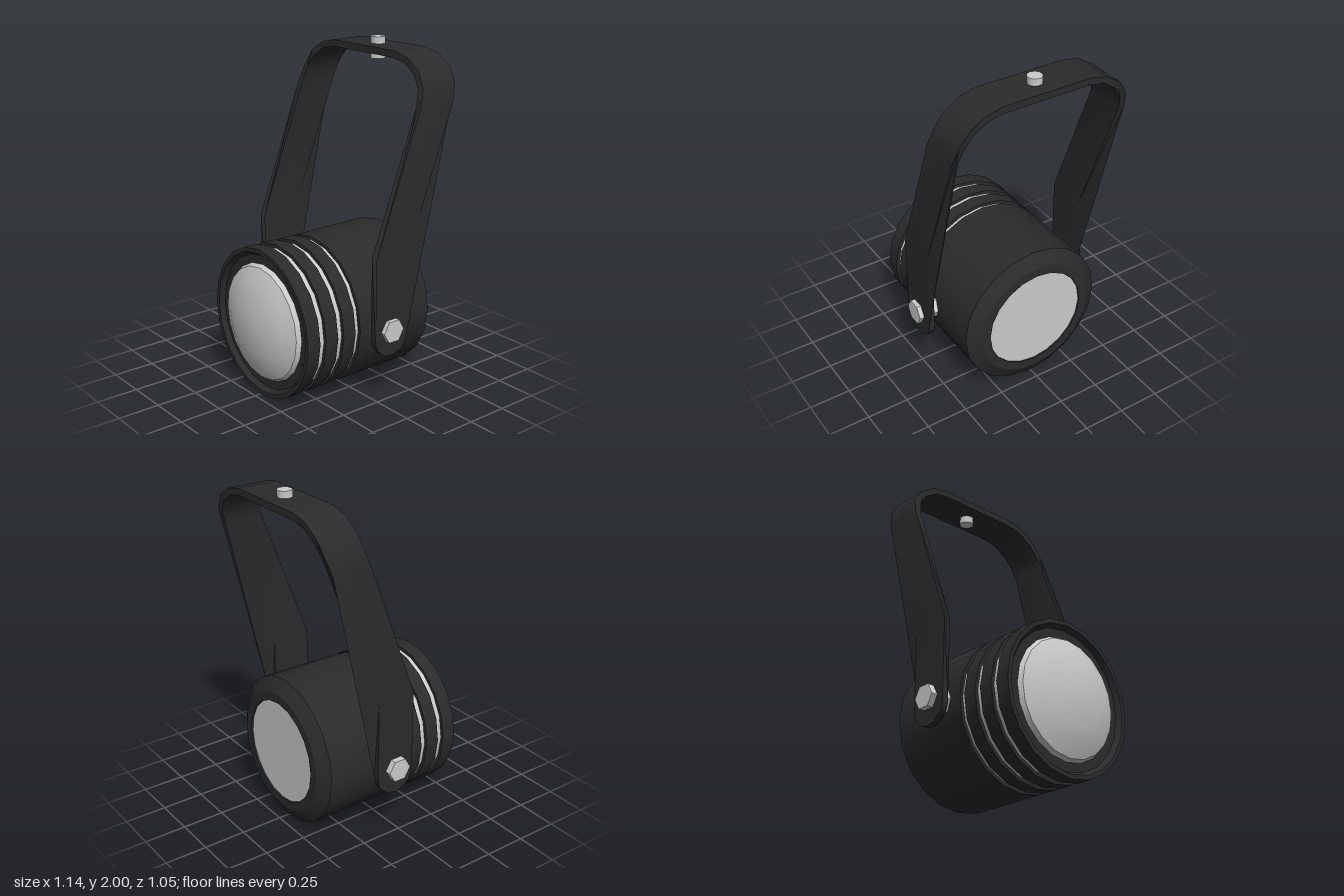
import * as THREE from 'three';
import { toCreasedNormals } from 'three/addons/utils/BufferGeometryUtils.js';

const CX = 0.005, CY = 0.447; // lamp axis
const BOLT_Z = -0.055;
const black = new THREE.MeshStandardMaterial({ color: 0x2b2b2b });
const grey = new THREE.MeshStandardMaterial({ color: 0xcccccc });

function part(name, geometry, material, crease = 0.45) {
  const mesh = new THREE.Mesh(toCreasedNormals(geometry, crease), material);
  mesh.name = name;
  return mesh;
}

// Turned part around the lamp axis; points are [radius, z], back to front
function turned(name, points, material) {
  const g = new THREE.LatheGeometry(points.map(p => new THREE.Vector2(p[0], p[1])), 20);
  g.rotateX(Math.PI / 2);
  g.translate(CX, CY, 0);
  return part(name, g, material);
}

// Depth offset of the yoke at height y: vertical, leaning back, vertical again
const LEAN = [[0.89, -0.06], [1.69, -0.36], [1.79, -0.393], [1.88, -0.405]];
function yokeZ(y) {
  if (y <= LEAN[0][0]) return LEAN[0][1];
  for (let i = 1; i < LEAN.length; i++) {
    const [y0, z0] = LEAN[i - 1], [y1, z1] = LEAN[i];
    if (y <= y1) return z0 + (z1 - z0) * (y - y0) / (y1 - y0);
  }
  return LEAN[LEAN.length - 1][1];
}

function createYoke() {
  const yoke = new THREE.Group();
  yoke.name = 'yoke';

  // Bent strap: U outline extruded in depth, then sheared back
  const outer = [[0.538, 0.415], [0.538, 0.89], [0.538, 1.69], [0.517, 1.79], [0.46, 1.88], [0.367, 1.938], [0.265, 1.96]];
  const inner = [[0.5, 0.415], [0.5, 0.89], [0.5, 1.69], [0.482, 1.775], [0.435, 1.848], [0.353, 1.902], [0.26, 1.92]];
  const mirror = list => list.map(([x, y]) => [-x, y]);
  const outline = [
    ...outer, ...mirror(outer).reverse(),
    ...mirror(inner), ...inner.slice().reverse(),
  ].map(([x, y]) => new THREE.Vector2(x, y));
  const strap = new THREE.ExtrudeGeometry(new THREE.Shape(outline), { depth: 0.24, bevelEnabled: false });
  const pos = strap.attributes.position;
  for (let i = 0; i < pos.count; i++) {
    pos.setZ(i, pos.getZ(i) - 0.12 + yokeZ(pos.getY(i)));
  }
  strap.translate(CX, 0, 0);
  yoke.add(part('strap', strap, black));

  // Rounded leg ends
  for (const side of [-1, 1]) {
    const half = new THREE.Shape();
    half.absarc(0, 0, 0.12, Math.PI, Math.PI * 2, false);
    const end = new THREE.ExtrudeGeometry(half, { depth: 0.038, bevelEnabled: false, curveSegments: 10 });
    end.translate(0, 0, -0.019);
    end.rotateY(Math.PI / 2);
    end.translate(CX + side * 0.519, 0.415, -0.06);
    yoke.add(part(side > 0 ? 'leftLegEnd' : 'rightLegEnd', end, black));
  }
  return yoke;
}

export function createModel() {
  const model = new THREE.Group();
  model.name = 'spotlight';

  // Housing with chamfered back and recessed back plate
  model.add(turned('housing', [
    [0.31, -0.465], [0.31, -0.48], [0.365, -0.48], [0.445, -0.43], [0.445, 0.09], [0.4, 0.09],
  ], black));
  model.add(turned('backPlate', [[0, -0.47], [0.32, -0.47]], grey));

  // Inner core with cooling rings
  model.add(turned('core', [[0.425, 0.08], [0.425, 0.4]], grey));
  for (const z of [0.125, 0.25]) {
    model.add(turned('coolingRing', [[0.4, z], [0.445, z], [0.445, z + 0.085], [0.4, z + 0.085]], black));
  }
  model.add(turned('frontRim', [
    [0.4, 0.375], [0.445, 0.375], [0.445, 0.46], [0.42, 0.46], [0.4, 0.43], [0.33, 0.43],
  ], black));

  // Domed lens
  model.add(turned('lens', [
    [0.352, 0.425], [0.335, 0.456], [0.25, 0.493], [0.17, 0.512], [0.08, 0.526], [0, 0.529],
  ], grey));

  model.add(createYoke());

  // Hexagonal pivot bolts
  for (const side of [-1, 1]) {
    const bolt = new THREE.CylinderGeometry(0.072, 0.072, 0.16, 6);
    bolt.rotateZ(Math.PI / 2);
    bolt.translate(side * 0.49, 0.45, BOLT_Z);
    model.add(part(side > 0 ? 'leftBolt' : 'rightBolt', bolt, grey));
  }

  // Mounting pin through the top of the yoke
  const pin = new THREE.CylinderGeometry(0.043, 0.043, 0.125, 10);
  pin.translate(0.003, 1.9375, -0.405);
  model.add(part('mountingPin', pin, grey, 0.8));

  return model;
}
